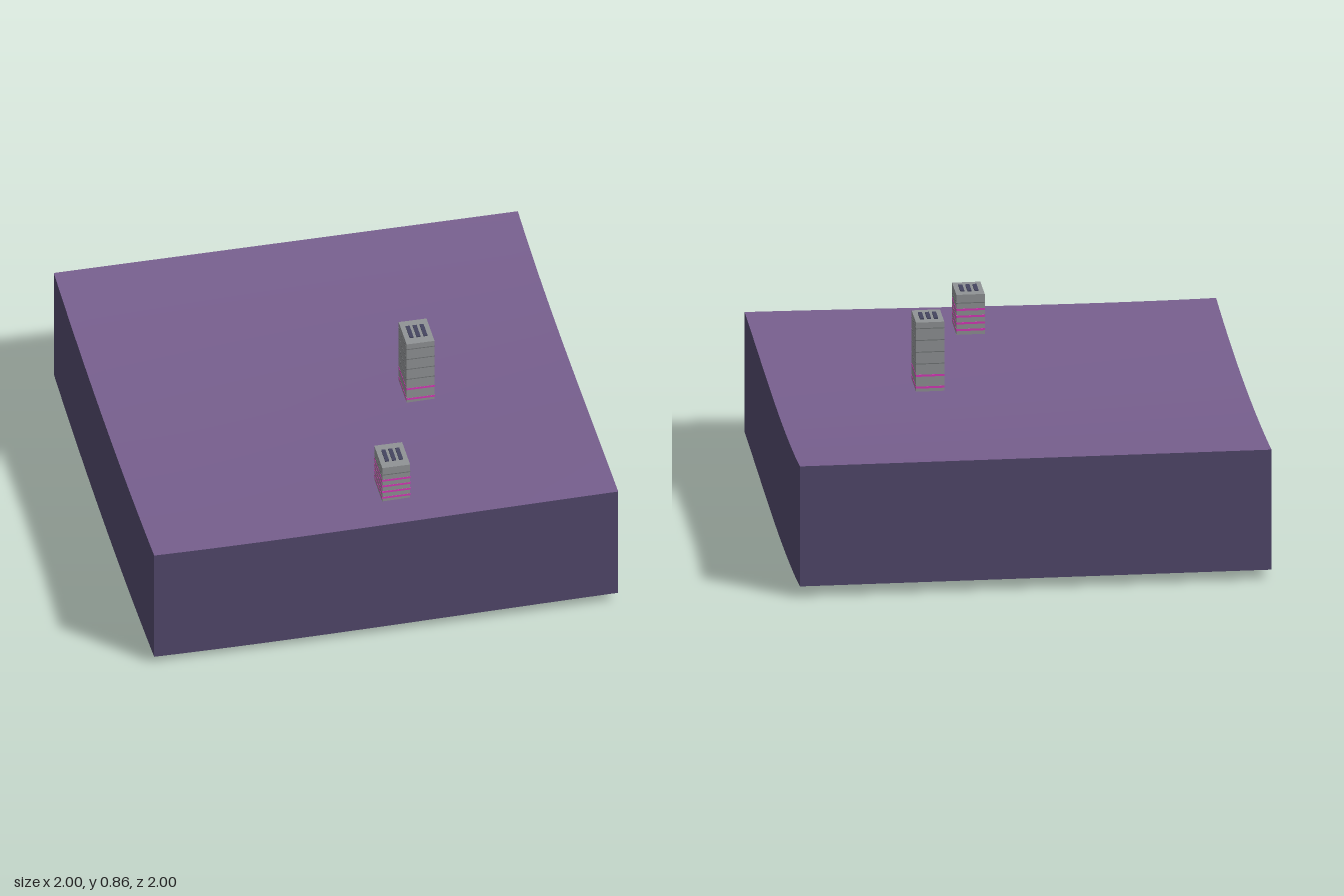
import * as THREE from 'three';

const DEPTH = 0.535;  // thickness of the ground block
const SEGMENTS = 24;

const mat = (name, color, side = THREE.FrontSide) => {
  const m = new THREE.MeshStandardMaterial({ color, side });
  m.name = name;
  return m;
};

// Gentle saddle: left and right edge profiles blended across x
function rise(x, z) {
  const left = 0.0003 - 0.006 * z + 0.038 * z * z;
  const right = 0.02 + 0.03 * z * z + 0.02 * (z - z * z * z);
  const t = (x + 1) / 2;
  const dip = 0.006 * (1 - x * x) * (1 - x) * Math.max(0, z);
  return left * (1 - t) + right * t - dip;
}

// Lift every vertex of a geometry by the ground rise
function lift(geometry) {
  const p = geometry.attributes.position;
  for (let i = 0; i < p.count; i++) p.setY(i, p.getY(i) + rise(p.getX(i), p.getZ(i)));
  geometry.computeVertexNormals();
  return geometry;
}

export function createModel() {
  const model = new THREE.Group();
  model.name = 'groundTileWithTowers';

  const ground = mat('groundPurple', 0x775f8e, THREE.DoubleSide);
  const earth = mat('earthDarkPurple', 0x51486b, THREE.DoubleSide);
  const concrete = mat('concreteGrey', 0x909395);
  const seam = mat('seamGrey', 0x717476);
  const neon = mat('neonMagenta', 0xd63ab8);
  const vent = mat('ventDarkBlue', 0x44455f);

  const add = (parent, geometry, material, name, x = 0, y = 0, z = 0) => {
    const mesh = new THREE.Mesh(geometry, material);
    mesh.name = name;
    mesh.position.set(x, y, z);
    parent.add(mesh);
    return mesh;
  };

  // Curved ground sheet
  const top = new THREE.PlaneGeometry(2, 2, SEGMENTS, SEGMENTS);
  top.rotateX(-Math.PI / 2).translate(0, DEPTH, 0);
  add(model, lift(top), ground, 'groundSurface');

  // Four side walls, open underneath
  ['frontWall', 'leftWall', 'backWall', 'rightWall'].forEach((name, i) => {
    const wall = new THREE.PlaneGeometry(2, DEPTH, SEGMENTS, 1);
    wall.translate(0, DEPTH / 2, 1).rotateY(i * Math.PI / 2);
    add(model, lift(wall), earth, name);
  });

  // Tower block with floor bands and three roof vents
  function tower(name, x, z, roof, firstBand, spacing, neonFlags) {
    const group = new THREE.Group();
    group.name = name;
    group.position.set(x, 0, z);
    const base = DEPTH + rise(x, z);
    const height = roof - base;
    add(group, new THREE.BoxGeometry(0.12, height, 0.16), concrete, 'towerBody', 0, base + height / 2, 0);
    neonFlags.forEach((lit, i) => {
      const band = new THREE.BoxGeometry(0.122, lit ? 0.009 : 0.004, 0.162);
      add(group, band, lit ? neon : seam, lit ? 'neonBand' : 'floorSeam', 0, firstBand - i * spacing, 0);
    });
    for (const dx of [-0.03, 0, 0.03]) {
      add(group, new THREE.BoxGeometry(0.017, 0.006, 0.08), vent, 'roofVent', dx, roof + 0.002, 0);
    }
    model.add(group);
  }
  tower('shortTower', 0.08, 0.75, 0.74, 0.703, 0.03, [0, 1, 1, 1, 1]);
  tower('tallTower', 0.33, 0.08, 0.857, 0.83, 0.0525, [0, 0, 0, 0, 1, 1]);

  return model;
}
